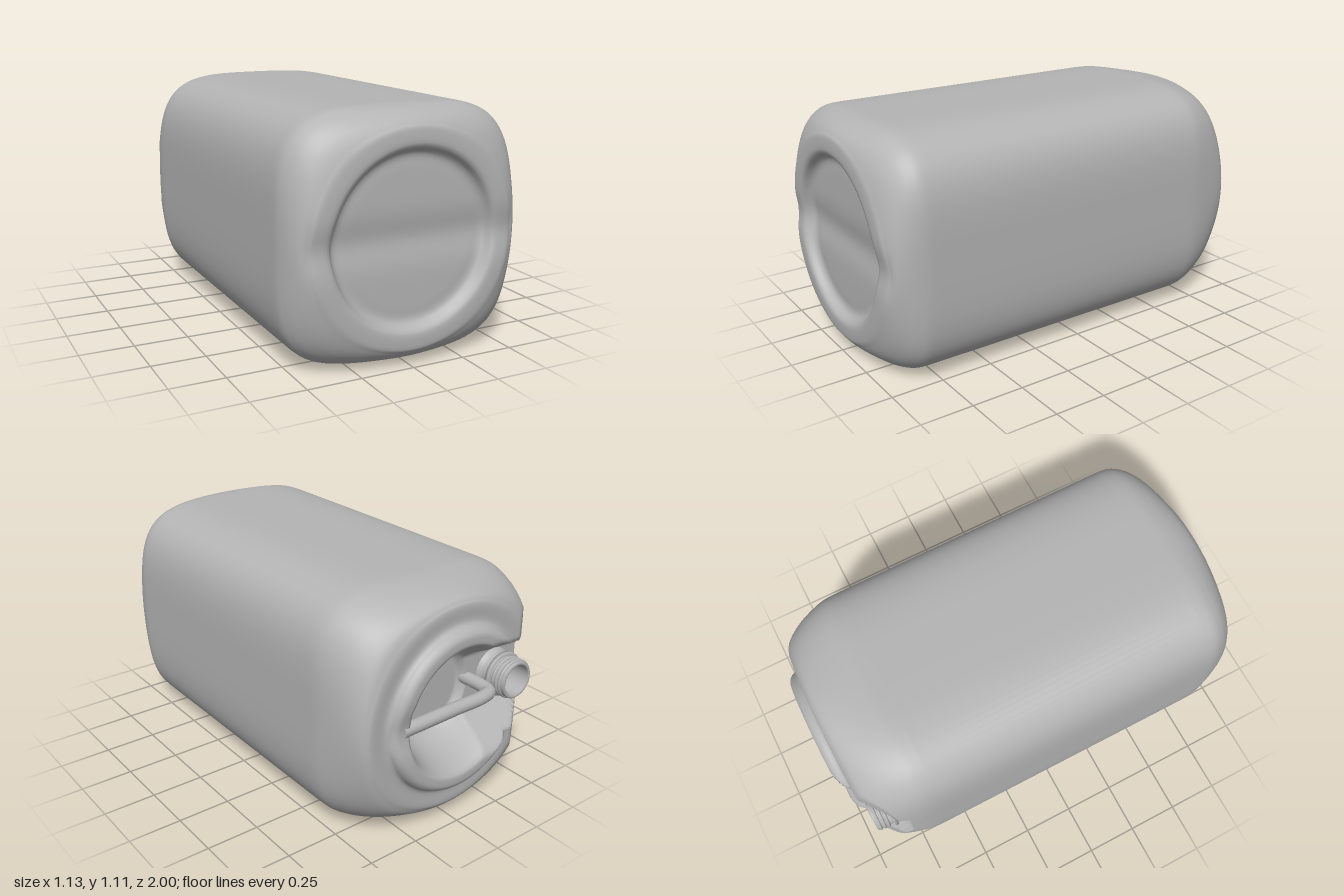
import * as THREE from 'three';

const CY = 0.555; // height of the long axis
const SEG = 160;

const smooth = (a, b, v) => {
  const t = Math.min(1, Math.max(0, (v - a) / (b - a)));
  return t * t * (3 - 2 * t);
};

// Rounded-square outline as a radius for an angle
function squareRadius(a) {
  const n = 4.1;
  return Math.pow(Math.pow(Math.abs(Math.cos(a) / 0.563), n) + Math.pow(Math.abs(Math.sin(a) / 0.555), n), -1 / n);
}

// Smooth run through [radius, z, roundness] stations
function stations(list, count) {
  const pts = list.map((p) => new THREE.Vector3(p[0], p[1], p[2]));
  return new THREE.CatmullRomCurve3(pts).getSpacedPoints(count);
}

// Hand hollow, spout notch and slanted corner cut into the back end
function carveBack(x, dy, z) {
  const r = Math.hypot(x, dy);
  z += 0.024 * Math.exp(-((dy / 0.1) ** 2)) * smooth(0.2, 0.3, x) * smooth(-0.95, -0.985, z);
  const slant = -0.8 - (x + 0.56) * 0.79;
  z = Math.max(z, slant);
  const hollow = smooth(0.315, 0.2, r) * 0.26;
  const width = 0.285 + 0.1 * Math.min(0, x + 0.2);
  const notch = smooth(width, 0.11, Math.abs(dy)) * smooth(0.02, -0.12, x) * 0.225;
  return Math.max(z, -1 + Math.max(hollow, notch));
}

// Shallow cross groove pressed into the front end
function pressFront(x, dy, z) {
  return z - 0.018 * Math.exp(-((dy / 0.085) ** 2)) * smooth(0.93, 0.955, z) * smooth(0.53, 0.47, Math.abs(x));
}

function bodyGeometry() {
  const back = stations([
    [0, -1, 1], [0.2, -1, 1], [0.335, -1, 1], [0.357, -0.998, 1], [0.378, -0.98, 1], [0.39, -0.952, 1],
    [0.405, -0.946, 1], [0.46, -0.946, 1], [0.49, -0.935, 0.85], [0.51, -0.91, 0.65], [0.532, -0.84, 0.35],
    [0.547, -0.75, 0.12], [0.554, -0.68, 0.02], [0.555, -0.62, 0],
  ], 140);
  const front = stations([
    [0.555, 0.78, 0], [0.554, 0.83, 0.02], [0.546, 0.88, 0.12], [0.525, 0.94, 0.4], [0.49, 0.984, 0.8],
    [0.455, 0.999, 1], [0.41, 1, 1], [0.393, 0.995, 1], [0.372, 0.962, 1], [0.352, 0.952, 1],
    [0.3, 0.952, 1], [0.15, 0.952, 1], [0, 0.952, 1],
  ], 100);
  const rings = [...back, ...front];
  const pos = [];
  const index = [];
  rings.forEach((p, i) => {
    for (let j = 0; j < SEG; j++) {
      const a = (j / SEG) * Math.PI * 2;
      const m = Math.min(1, Math.max(0, p.z));
      const R = Math.max(0, p.x) * ((squareRadius(a) / 0.555) * (1 - m) + m);
      const x = R * Math.cos(a);
      const dy = R * Math.sin(a);
      const z = p.y < 0 ? carveBack(x, dy, p.y) : pressFront(x, dy, p.y);
      pos.push(x, CY + dy, z);
      if (i < rings.length - 1) {
        const k = (j + 1) % SEG;
        const A = i * SEG + j, B = i * SEG + k, C = A + SEG, D = B + SEG;
        index.push(A, B, C, B, D, C);
      }
    }
  });
  const g = new THREE.BufferGeometry();
  g.setAttribute('position', new THREE.Float32BufferAttribute(pos, 3));
  g.setIndex(index);
  g.computeVertexNormals();
  return g;
}

export function createModel() {
  const group = new THREE.Group();
  const plastic = new THREE.MeshStandardMaterial({ color: 0xb4b4b4, side: THREE.DoubleSide });
  plastic.name = 'grey plastic';

  const add = (name, geometry, parent = group) => {
    const mesh = new THREE.Mesh(geometry, plastic);
    mesh.name = name;
    parent.add(mesh);
    return mesh;
  };

  add('body', bodyGeometry());

  // Carrying bar across the hollow, bending down beside the spout
  const path = new THREE.CatmullRomCurve3([
    [0.32, -0.955], [0.2, -0.953], [0, -0.948], [-0.17, -0.945], [-0.225, -0.925], [-0.24, -0.87], [-0.24, -0.74],
  ].map(([x, z]) => new THREE.Vector3(x, CY, z)));
  add('handle', new THREE.TubeGeometry(path, 60, 0.031, 16));

  // Threaded spout, pointing out of the back
  const spout = new THREE.Group();
  spout.name = 'spout';
  spout.position.set(-0.405, CY, -0.93);
  spout.rotation.x = -Math.PI / 2;
  group.add(spout);
  const neck = [
    [0.115, -0.17], [0.1, -0.14], [0.09, -0.125], [0.09, -0.004], [0.086, 0], [0.078, 0], [0.074, -0.004], [0.074, -0.17],
  ].map(([r, y]) => new THREE.Vector2(r, y));
  add('neck', new THREE.LatheGeometry(neck, 48), spout);
  const collar = [[0.088, -0.1], [0.108, -0.1], [0.108, -0.082], [0.088, -0.082]].map(([r, y]) => new THREE.Vector2(r, y));
  add('collar', new THREE.LatheGeometry(collar, 48), spout);

  // Screw thread as one helix
  const turns = [];
  for (let i = 0; i <= 60; i++) {
    const a = (i / 60) * Math.PI * 5;
    turns.push(new THREE.Vector3(0.09 * Math.cos(a), -0.066 + 0.05 * (i / 60), 0.09 * Math.sin(a)));
  }
  add('thread', new THREE.TubeGeometry(new THREE.CatmullRomCurve3(turns), 160, 0.008, 8), spout);

  return group;
}
